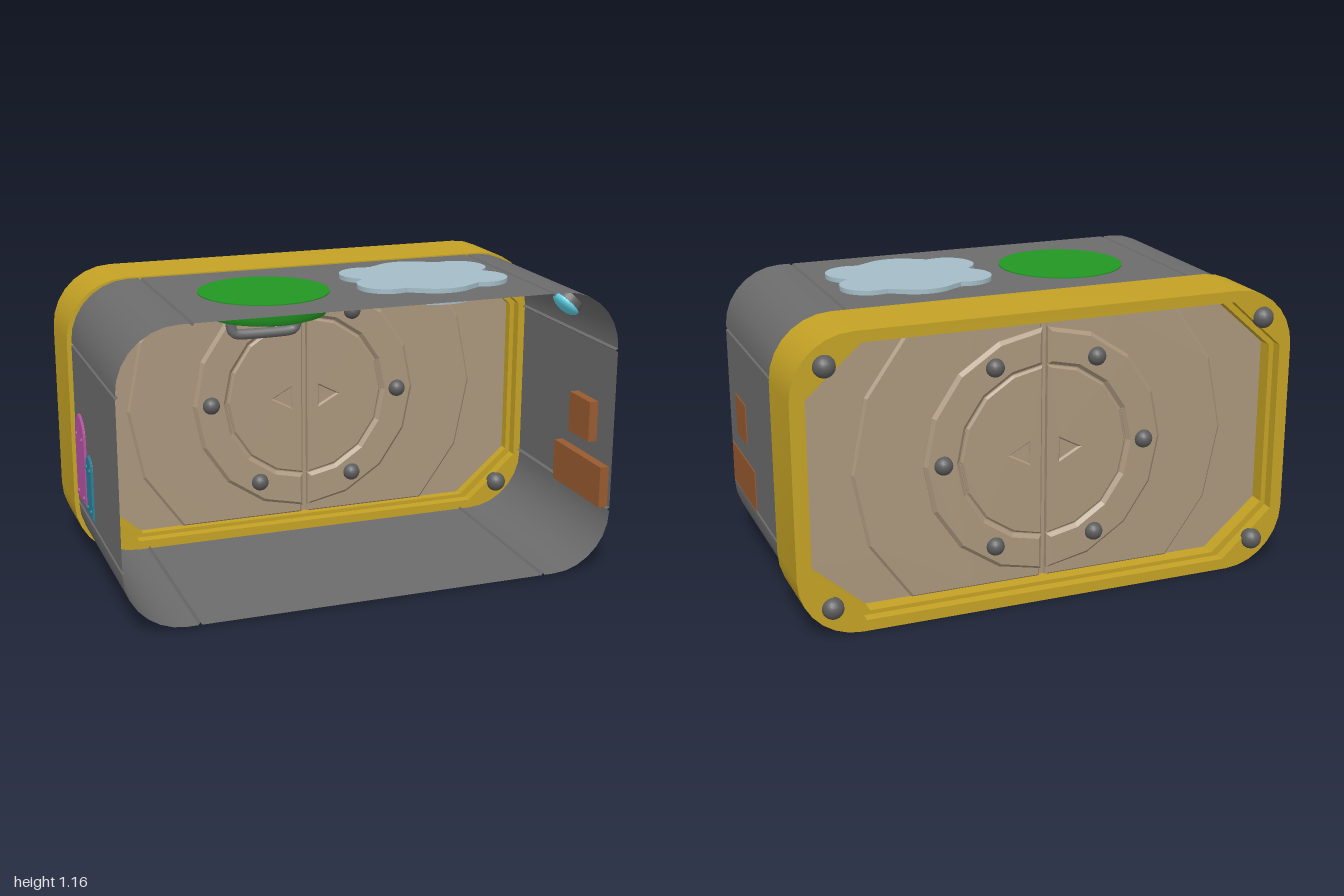
import * as THREE from 'three';
import { toCreasedNormals } from 'three/addons/utils/BufferGeometryUtils.js';

const mat = (color) => new THREE.MeshStandardMaterial({ color, side: THREE.DoubleSide });
const V2 = (x, y) => new THREE.Vector2(x, y);
const MID = 0.575; // height of the door centre
const DOOR_Z = -0.37;

// Rounded rectangle outline, counter-clockwise; optional seam notches beside the corners
function roundedOutline(hw, y0, y1, r, seamX) {
  const pts = [];
  const seam = (x, y, ux, uy, nx, ny) => {
    for (const [a, d] of [[-0.007, 0], [0, 0.01], [0.007, 0]]) pts.push(V2(x + ux * a - nx * d, y + uy * a - ny * d));
  };
  const corners = [[1, 1], [-1, 1], [-1, -1], [1, -1]];
  corners.forEach(([sx, sy], k) => {
    const cx = sx * (hw - r), cy = sy > 0 ? y1 - r : y0 + r;
    const side = () => seam(sx * hw, cy - sy * 0.008, 0, sx, sx, 0);
    const flat = () => seam(sx * seamX, sy > 0 ? y1 : y0, -sy, 0, 0, sy);
    if (seamX) (k % 2 ? flat : side)();
    for (let i = 0; i <= 7; i++) {
      const a = (k + i / 7) * Math.PI / 2;
      pts.push(V2(cx + r * Math.cos(a), cy + r * Math.sin(a)));
    }
    if (seamX) (k % 2 ? side : flat)();
  });
  return pts;
}

// Chamfered-corner opening
function octagon(hw, y0, y1, cx, cy) {
  return [[hw, y0 + cy], [hw, y1 - cy], [hw - cx, y1], [cx - hw, y1], [-hw, y1 - cy], [-hw, y0 + cy], [cx - hw, y0], [hw - cx, y0]]
    .map(([x, y]) => V2(x, y));
}

// Solid from an outline, centred in depth, with optional bevel
function slab(pts, depth, { holes = [], bevel = 0, crease = 0.5 } = {}) {
  const shape = new THREE.Shape(pts);
  shape.holes = holes.map((h) => new THREE.Path(h));
  const g = new THREE.ExtrudeGeometry(shape, {
    depth: depth - 2 * bevel, bevelEnabled: bevel > 0, bevelThickness: bevel, bevelSize: bevel, bevelOffset: -bevel, bevelSegments: 1,
  });
  g.translate(0, 0, bevel - depth / 2);
  return toCreasedNormals(g, crease);
}

// Half of a sixteen-sided polygon on +x, cut at the centre seam and at a height limit
function halfPolygon(r, limit = 9) {
  const pts = [];
  for (let i = -4; i <= 4; i++) {
    const a = i * Math.PI / 8;
    pts.push(V2(Math.max(0.011, r * Math.cos(a)), THREE.MathUtils.clamp(r * Math.sin(a), -limit, limit)));
  }
  return pts;
}

export function createModel() {
  const root = new THREE.Group();
  const grey = mat(0x6c6c6c), dark = mat(0x5c5c5c), yellow = mat(0xc4a225), beige = mat(0xaa967c);
  const add = (name, geo, material, x = 0, y = 0, z = 0, parent = root) => {
    const m = new THREE.Mesh(geo, material);
    m.name = name;
    m.position.set(x, y, z);
    parent.add(m);
    return m;
  };

  // Open corridor shell with seam grooves
  const outline = roundedOutline(0.982, 0.008, 1.145, 0.235, 0.7);
  const pos = [], idx = [], n = outline.length;
  outline.forEach((p, i) => {
    pos.push(p.x, p.y, 0.56, p.x, p.y, -0.26);
    const a = 2 * i, b = 2 * ((i + 1) % n);
    idx.push(a, a + 1, b, b, a + 1, b + 1);
  });
  const shell = new THREE.BufferGeometry();
  shell.setAttribute('position', new THREE.Float32BufferAttribute(pos, 3));
  shell.setIndex(idx);
  add('corridorShell', toCreasedNormals(shell, 0.5), grey);

  // Door frame with a narrower lip inside the opening
  const frameOuter = roundedOutline(1, 0, 1.15, 0.24);
  add('doorFrame', slab(frameOuter, 0.285, { holes: [octagon(0.952, 0.044, 1.106, 0.21, 0.19)] }), yellow, 0, 0, -0.3825);
  add('frameLip', slab(octagon(0.965, 0.03, 1.12, 0.2, 0.18), 0.2, { holes: [octagon(0.932, 0.06, 1.095, 0.215, 0.19)] }), yellow, 0, 0, -0.3825);

  // Bolts on both faces of the frame
  const bolt = new THREE.SphereGeometry(0.042, 16, 12);
  for (const x of [-0.87, 0.87]) for (const y of [0.115, 1.035]) for (const z of [-0.242, -0.525])
    add('frameBolt', bolt, dark, x, y, z);

  // Two identical door leaves, one turned half a circle
  const arrow = [V2(0.062, 0.042), V2(0.062, -0.042), V2(0.14, 0)];
  const ringOuter = halfPolygon(0.485), ringInner = halfPolygon(0.343);
  const smallBolt = new THREE.SphereGeometry(0.036, 16, 12);
  for (const turn of [0, Math.PI]) {
    const leaf = new THREE.Group();
    leaf.name = 'doorLeaf';
    leaf.position.set(0, MID + 0.003, DOOR_Z);
    leaf.rotation.y = turn;
    root.add(leaf);
    add('sidePanel', slab(octagon(0.94, -0.525, 0.525, 0.215, 0.19).map((p) => V2(Math.max(p.x, 0.3), p.y)), 0.1), beige, 0, 0, 0, leaf);
    add('middlePanel', slab(halfPolygon(0.757, 0.522), 0.125, { bevel: 0.01, crease: 0.1 }), beige, 0, 0, 0, leaf);
    add('doorRing', slab([...ringOuter, ...ringInner.reverse()], 0.16, { bevel: 0.014, crease: 0.1 }), beige, 0, 0, 0, leaf);
    ringInner.reverse();
    add('innerDisc', slab(halfPolygon(0.338), 0.15, { holes: [arrow], bevel: 0.008, crease: 0.1 }), beige, 0, 0, 0, leaf);
    for (const a of [-60, 0, 60]) for (const z of [-0.08, 0.08]) {
      const t = THREE.MathUtils.degToRad(a);
      add('doorBolt', smallBolt, dark, 0.41 * Math.cos(t), 0.41 * Math.sin(t), z, leaf);
    }
  }
  // Thin strip closing the seam behind the leaves
  add('seamStrip', new THREE.BoxGeometry(0.04, 1.045, 0.09), beige, 0, MID + 0.003, DOOR_Z);

  // Round roof hatch with a handle below
  const hatch = [[0, 1.06], [0.215, 1.06], [0.238, 1.068], [0.249, 1.09], [0.25, 1.149], [0, 1.149]].map(([x, y]) => V2(x, y));
  add('roofHatch', toCreasedNormals(new THREE.LatheGeometry(hatch, 48), 0.7), mat(0x229722), -0.315, 0, 0.15);
  const loop = new THREE.CatmullRomCurve3(
    [[-0.13, 0.03], [-0.125, -0.025], [-0.09, -0.04], [0.09, -0.04], [0.125, -0.025], [0.13, 0.03], [0.09, 0.045], [-0.09, 0.045]]
      .map(([x, y]) => new THREE.Vector3(x, y, 0)), true, 'catmullrom', 0.4);
  add('hatchHandle', new THREE.TubeGeometry(loop, 64, 0.02, 10, true), grey, -0.315, 1.025, 0.15);

  // Cloud-shaped roof plate: outer edge of overlapping circles
  const circles = [[0, 0, 0.25], [0, 0.1, 0.165], [0, -0.1, 0.165]];
  for (const x of [-0.195, 0.195]) for (const y of [-0.1, 0.1]) circles.push([x, y, 0.11]);
  const cloud = [];
  for (let i = 0; i < 120; i++) {
    const a = i * Math.PI / 60, c = Math.cos(a), s = Math.sin(a);
    const r = Math.max(...circles.map(([x, y, q]) => {
      const d = x * c + y * s, k = q * q - x * x - y * y + d * d;
      return k < 0 ? 0 : d + Math.sqrt(k);
    }));
    cloud.push(V2(r * c, r * s));
  }
  const cloudPlate = add('cloudPlate', slab(cloud, 0.062), mat(0xa4bdc7), 0.335, 1.132, 0.15);
  cloudPlate.rotation.x = -Math.PI / 2;

  // Square and long wall plates on the +x wall
  const rust = mat(0x985a30);
  add('squarePlate', new THREE.BoxGeometry(0.042, 0.165, 0.167), rust, 0.965, 0.578, 0.3475);
  add('longPlate', new THREE.BoxGeometry(0.042, 0.167, 0.39), rust, 0.965, 0.338, 0.345);

  // Round-topped wall plates with screws on the -x wall
  const tablet = (name, color, z, w, y0, y1) => {
    const h = w / 2, pts = [V2(-h, y0), V2(h, y0)];
    for (let i = 0; i <= 12; i++) {
      const a = i * Math.PI / 12;
      pts.push(V2(h * Math.cos(a), y1 - h + h * Math.sin(a)));
    }
    const g = new THREE.Group();
    g.name = name;
    g.position.set(-0.968, 0, z);
    g.rotation.y = -Math.PI / 2;
    root.add(g);
    const m = mat(color);
    add(name + 'Body', slab(pts, 0.044, { bevel: 0.007 }), m, 0, 0, 0, g);
    const screw = new THREE.SphereGeometry(0.01, 8, 6);
    for (const x of [-0.55 * h, 0.55 * h]) for (const y of [y0 + 0.03, y1 - h]) for (const s of [-0.02, 0.02])
      add(name + 'Screw', screw, m, x, y, s, g);
  };
  tablet('largeTablet', 0xb755a4, -0.122, 0.185, 0.29, 0.65);
  tablet('smallTablet', 0x2a8098, 0.035, 0.11, 0.28, 0.53);

  // Oval lamps in the upper corners
  for (const [s, z] of [[1, 0.32], [-1, -0.03]]) {
    const lamp = new THREE.Group();
    lamp.name = 'cornerLamp';
    lamp.position.set(s * 0.877, 1.043, z);
    lamp.rotation.z = -s * Math.PI / 4;
    root.add(lamp);
    add('lampGlass', new THREE.SphereGeometry(1, 24, 16), mat(0x62d6ec), 0, 0, 0, lamp).scale.set(0.062, 0.03, 0.062);
    add('lampBase', new THREE.CylinderGeometry(0.055, 0.062, 0.03, 24), dark, 0, 0.02, 0, lamp);
  }
  return root;
}
